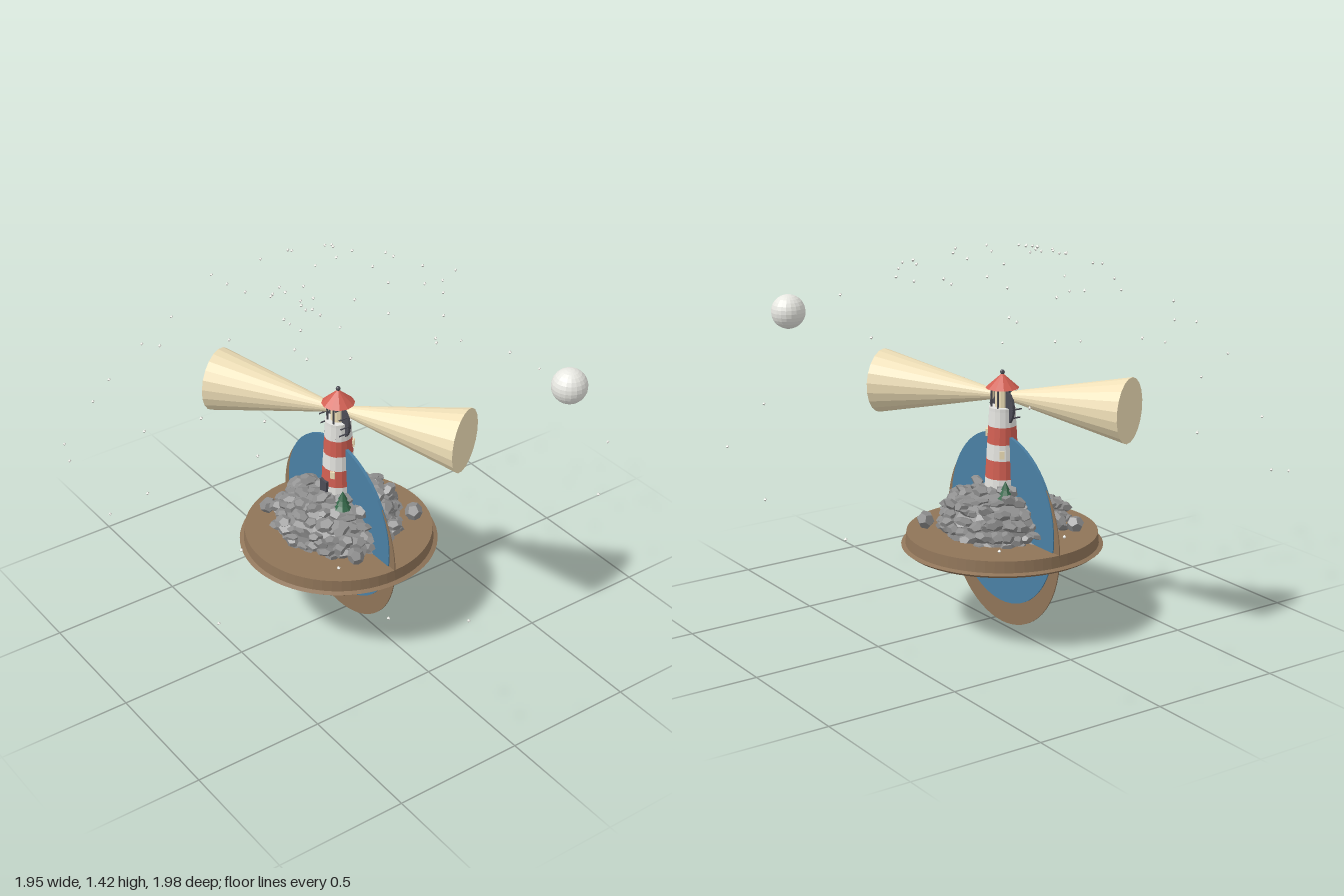
import * as THREE from 'three';

export function createModel() {
  const root = new THREE.Group();
  root.name = 'lighthouseScene';
  const model = new THREE.Group();
  model.name = 'island';
  model.position.set(-0.045, 0, 0.02);
  root.add(model);

  let seed = 7;
  const rand = () => {
    seed = (seed * 16807) % 2147483647;
    return seed / 2147483647;
  };
  const paint = (color) => new THREE.MeshStandardMaterial({ color, flatShading: true, side: THREE.DoubleSide });
  const mats = {
    wood: paint(0x8f7458), water: paint(0x4a7fa3), rock: paint(0x8c8c8c), white: paint(0xe4e4e0),
    red: paint(0xd25f52), dark: paint(0x4c4c55), beam: paint(0xf0e0b8), leaf: paint(0x35684a),
    moon: paint(0xe8e8e2),
  };
  const add = (name, geo, mat, x = 0, y = 0, z = 0, parent = model) => {
    const m = new THREE.Mesh(geo, mats[mat]);
    m.name = name;
    m.position.set(x, y, z);
    parent.add(m);
    return m;
  };
  const lathe = (pts, n) => new THREE.LatheGeometry(pts.map(([r, y]) => new THREE.Vector2(r, y)), n);
  const cyl = (rt, rb, h, n = 16) => new THREE.CylinderGeometry(rt, rb, h, n);

  // Round base with a projecting lower lip
  add('base', lathe([[0, 0.308], [0.362, 0.305], [0.376, 0.316], [0.36, 0.322], [0.356, 0.365], [0, 0.365]], 64), 'wood');

  // Upright backing disc and the slightly thicker water disc
  add('backingDisc', cyl(0.357, 0.357, 0.004, 64), 'wood', 0, 0.36).rotation.x = Math.PI / 2;
  add('waterDisc', cyl(0.326, 0.326, 0.012, 64), 'water', 0, 0.413).rotation.x = Math.PI / 2;

  // Rock mound: a solid core covered with flat broken slabs
  const profile = [[0.19, 0.362], [0.22, 0.40], [0.215, 0.44], [0.185, 0.475], [0.14, 0.505], [0.075, 0.53]];
  add('moundCore', lathe([...profile, [0, 0.535]], 14), 'rock');
  const slab = new THREE.DodecahedronGeometry(1, 0);
  const mound = new THREE.Group();
  mound.name = 'rocks';
  model.add(mound);
  profile.forEach(([r, y]) => {
    const count = Math.round(r * 130) + 4;
    for (let i = 0; i < count; i++) {
      const a = ((i + rand() * 0.8) / count) * Math.PI * 2;
      const d = r + (rand() - 0.6) * 0.03;
      const m = add('rock', slab, 'rock', Math.cos(a) * d, y + (rand() - 0.4) * 0.026, Math.sin(a) * d, mound);
      m.scale.set(0.026 + rand() * 0.018, 0.012 + rand() * 0.012, 0.024 + rand() * 0.018);
      m.rotation.set((rand() - 0.5) * 0.7, rand() * 6, (rand() - 0.5) * 0.7);
    }
  });
  // Loose boulders round the mound, and one poking out below the base
  [[-0.21, 0.41, 0.18, 0.034], [0.25, 0.41, 0.10, 0.034], [0.145, 0.41, -0.245, 0.036], [-0.04, 0.312, 0, 0.026]].forEach(([x, y, z, s]) => {
    const b = add('boulder', slab, 'rock', x, y, z);
    b.scale.set(s, s * 0.92, s);
    b.rotation.set(rand() * 3, rand() * 3, rand() * 3);
  });

  // Tapered tower in alternating bands
  const levels = [0.5, 0.575, 0.645, 0.705, 0.77, 0.83];
  const radiusAt = (y) => 0.066 - (y - 0.54) * 0.058;
  for (let i = 0; i < 5; i++) {
    const [a, b] = [levels[i], levels[i + 1]];
    add('towerBand', cyl(radiusAt(b), radiusAt(a), b - a, 16), i % 2 ? 'red' : 'white', 0, (a + b) / 2);
  }
  add('door', new THREE.BoxGeometry(0.04, 0.07, 0.014), 'dark', 0, 0.56, 0.064);
  [[0.6, 0.63], [-2.2, 0.67], [2.4, 0.74]].forEach(([a, y]) => {
    const w = add('window', new THREE.BoxGeometry(0.018, 0.028, 0.012), 'beam', Math.sin(a) * radiusAt(y), y, Math.cos(a) * radiusAt(y));
    w.rotation.y = a;
  });

  // Upright gallery disc with pins along its rim
  add('galleryDisc', cyl(0.073, 0.073, 0.01, 24), 'dark', 0, 0.84).rotation.x = Math.PI / 2;
  for (let i = 0; i < 12; i++) {
    const a = (i / 12) * Math.PI * 2;
    add('galleryPin', cyl(0.003, 0.003, 0.045, 6), 'dark', Math.cos(a) * 0.068, 0.84 + Math.sin(a) * 0.068, 0.015).rotation.x = Math.PI / 2;
  }

  // Lamp room, its frame and the conical roof
  add('lampFloor', cyl(0.05, 0.05, 0.012), 'white', 0, 0.834);
  add('lamp', cyl(0.028, 0.028, 0.08), 'beam', 0, 0.875);
  for (let i = 0; i < 6; i++) {
    const a = (i / 6) * Math.PI * 2;
    add('lampPost', cyl(0.004, 0.004, 0.075, 6), 'dark', Math.cos(a) * 0.04, 0.877, Math.sin(a) * 0.04);
  }
  add('roof', new THREE.ConeGeometry(0.062, 0.055, 12), 'red', 0, 0.938);
  add('finial', new THREE.SphereGeometry(0.009, 8, 6), 'dark', 0, 0.969);

  // Two opposed light beams widening from the lamp
  const axis = new THREE.Vector3(0.437, 0, -0.243).normalize();
  [1, -1].forEach((s) => {
    const dir = axis.clone().multiplyScalar(s);
    const b = add('lightBeam', cyl(0.12, 0.02, 0.46, 20), 'beam');
    b.quaternion.setFromUnitVectors(new THREE.Vector3(0, 1, 0), dir);
    b.position.copy(dir).multiplyScalar(0.27).setY(0.882);
  });

  // Small conifers on the rocks
  [[0.112, 0.52, 0.06, 1], [-0.105, 0.515, -0.06, 0.9]].forEach(([x, y, z, s]) => {
    const t = new THREE.Group();
    t.name = 'tree';
    t.position.set(x, y, z);
    t.scale.setScalar(s);
    model.add(t);
    add('trunk', cyl(0.006, 0.008, 0.03, 6), 'wood', 0, 0.005, 0, t);
    for (let i = 0; i < 3; i++) add('foliage', new THREE.ConeGeometry(0.032 - i * 0.007, 0.036, 7), 'leaf', 0, 0.028 + i * 0.019, 0, t);
  });

  // Moon
  add('moon', new THREE.SphereGeometry(0.065, 20, 14), 'moon', 0.675, 1.135, -0.505);

  // Stars on a dome over the island: outer ones placed, inner ones scattered
  const stars = [
    [-0.09, -0.99], [-0.5, -0.92], [0.49, -0.83], [-0.88, -0.58], [-0.17, -0.61], [0.78, -0.52], [-0.97, -0.39],
    [-0.75, -0.37], [-0.48, -0.26], [-0.51, -0.25], [-0.63, -0.18], [0.44, -0.37], [0.97, 0.21], [-0.93, 0.19],
    [-0.68, 0.15], [0.86, 0.46], [0.72, 0.56], [0.3, 0.56], [-0.05, 0.47], [-0.87, 0.59], [-0.45, 0.59], [-0.49, 0.71],
    [-0.32, 0.59], [0.11, 0.69], [0.36, 0.63], [0.48, 0.78], [-0.76, 0.78], [-0.48, 0.9], [-0.07, 0.81], [0.09, 0.9],
    [0.5, 0.89], [-0.04, 0.98],
  ].map(([x, z]) => [x + 0.045, z - 0.02]);
  for (let i = 0; i < 36; i++) {
    const a = rand() * Math.PI * 2, r = 0.45 * Math.sqrt(rand());
    stars.push([Math.cos(a) * r, Math.sin(a) * r]);
  }
  const starGeo = new THREE.OctahedronGeometry(0.007, 0);
  stars.forEach(([x, z]) => add('star', starGeo, 'moon', x, 0.36 + Math.sqrt(Math.max(1.124 - x * x - z * z, 0.078)), z));

  return root;
}
